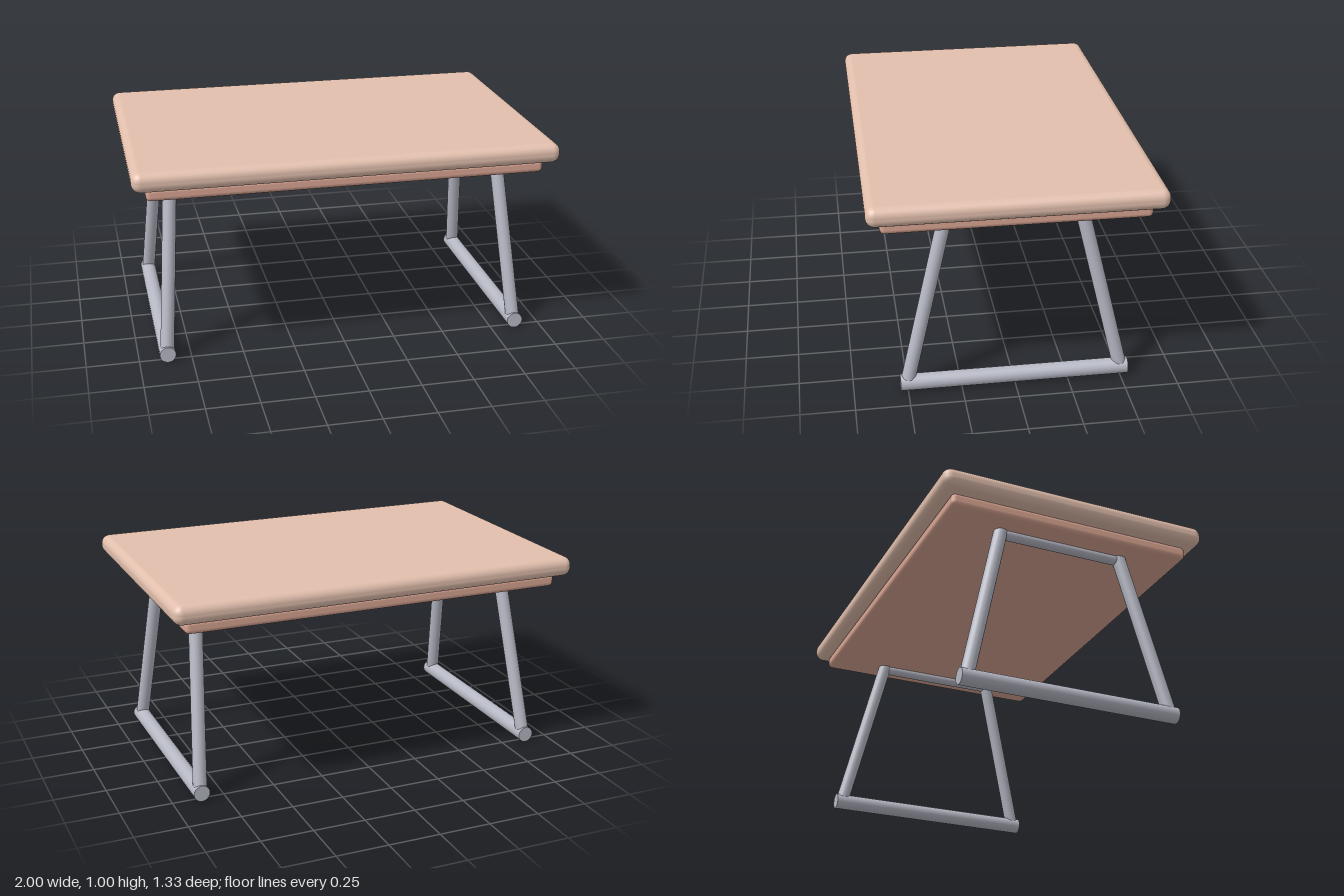
import * as THREE from 'three';
import { RoundedBoxGeometry } from 'three/addons/geometries/RoundedBoxGeometry.js';

const wood = new THREE.MeshStandardMaterial({ color: 0xe2bfad });
const darkWood = new THREE.MeshStandardMaterial({ color: 0xd9a593 });
const metal = new THREE.MeshStandardMaterial({ color: 0xb6b8c4 });

// Rounded slab centred on the y axis, from y0 to y1
function slab(name, width, depth, y0, y1, radius, segments, material) {
  const geometry = new RoundedBoxGeometry(width, y1 - y0, depth, segments, radius);
  const mesh = new THREE.Mesh(geometry, material);
  mesh.position.y = (y0 + y1) / 2;
  mesh.name = name;
  return mesh;
}

// Round bar between two points
function bar(name, from, to, radius) {
  const a = new THREE.Vector3(...from);
  const b = new THREE.Vector3(...to);
  const dir = b.clone().sub(a);
  const mesh = new THREE.Mesh(new THREE.CylinderGeometry(radius, radius, dir.length(), 20), metal);
  mesh.position.copy(a).add(b).multiplyScalar(0.5);
  mesh.quaternion.setFromUnitVectors(new THREE.Vector3(0, 1, 0), dir.normalize());
  mesh.name = name;
  return mesh;
}

export function createModel() {
  const table = new THREE.Group();
  table.name = 'foldingTable';

  // Top board and the smaller panel beneath it
  table.add(slab('tableTop', 2, 1.334, 0.905, 1, 0.042, 4, wood));
  table.add(slab('underPanel', 1.87, 1.21, 0.845, 0.908, 0.022, 2, darkWood));

  // A trapezoid leg frame at each end, splayed outward
  for (const side of [1, -1]) {
    const frame = new THREE.Group();
    frame.name = side > 0 ? 'leftLegFrame' : 'rightLegFrame';
    frame.add(bar('footBar', [side * 0.866, 0.039, -0.535], [side * 0.866, 0.039, 0.535], 0.039));
    frame.add(bar('topBar', [side * 0.8, 0.833, -0.3], [side * 0.8, 0.833, 0.3], 0.025));
    for (const end of [1, -1]) {
      frame.add(bar(end > 0 ? 'frontLeg' : 'backLeg',
        [side * 0.864, 0.06, end * 0.497], [side * 0.799, 0.86, end * 0.306], 0.033));
    }
    table.add(frame);
  }
  return table;
}
